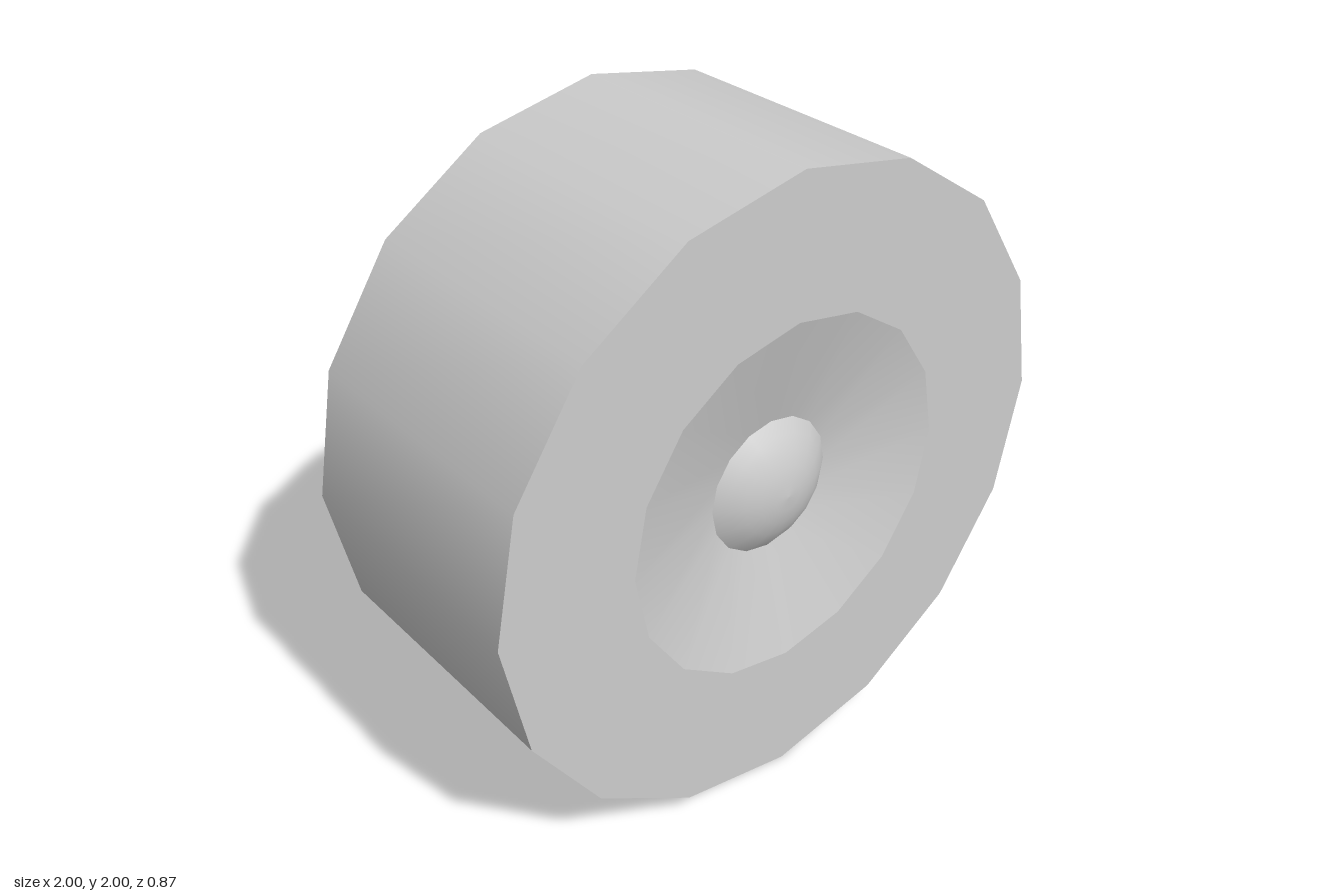
import * as THREE from 'three';

const SIDES = 16;
const HALF = 0.437; // half the wheel width
const material = new THREE.MeshStandardMaterial({ color: 0xcccccc });

// Surface turned around the wheel axis; points are [radius, z]
function turned(name, points) {
  const geometry = new THREE.LatheGeometry(points.map(([r, z]) => new THREE.Vector2(r, z)), SIDES);
  geometry.rotateX(Math.PI / 2);
  const mesh = new THREE.Mesh(geometry, material);
  mesh.name = name;
  return mesh;
}

export function createModel() {
  const wheel = new THREE.Group();
  wheel.name = 'wheel';
  const rim = 0.567, hub = 0.215, hubZ = 0.34, floorZ = 0.295;

  // Tyre: tread and the two flat side walls, separate so the edges stay sharp
  wheel.add(turned('tread', [[1, -HALF], [1, HALF]]));
  wheel.add(turned('frontWall', [[1, HALF], [rim, HALF]]));
  wheel.add(turned('backWall', [[rim, -HALF], [1, -HALF]]));

  // Shallow conical dish on the front
  wheel.add(turned('frontDish', [[rim, HALF], [hub, hubZ]]));

  // Flattened hub cap: a shallow spherical cap
  const edge = THREE.MathUtils.degToRad(42), R = hub / Math.sin(edge);
  const cap = [];
  for (let i = 0; i <= 5; i++) {
    const a = edge * (1 - i / 5);
    cap.push([R * Math.sin(a), hubZ + R * (Math.cos(a) - Math.cos(edge))]);
  }
  wheel.add(turned('hubCap', cap));

  // Deep cylindrical recess on the back
  wheel.add(turned('recessFloor', [[0, floorZ], [rim, floorZ]]));
  wheel.add(turned('recessWall', [[rim, floorZ], [rim, -HALF]]));

  wheel.position.y = 1;
  const model = new THREE.Group();
  model.add(wheel);
  return model;
}
